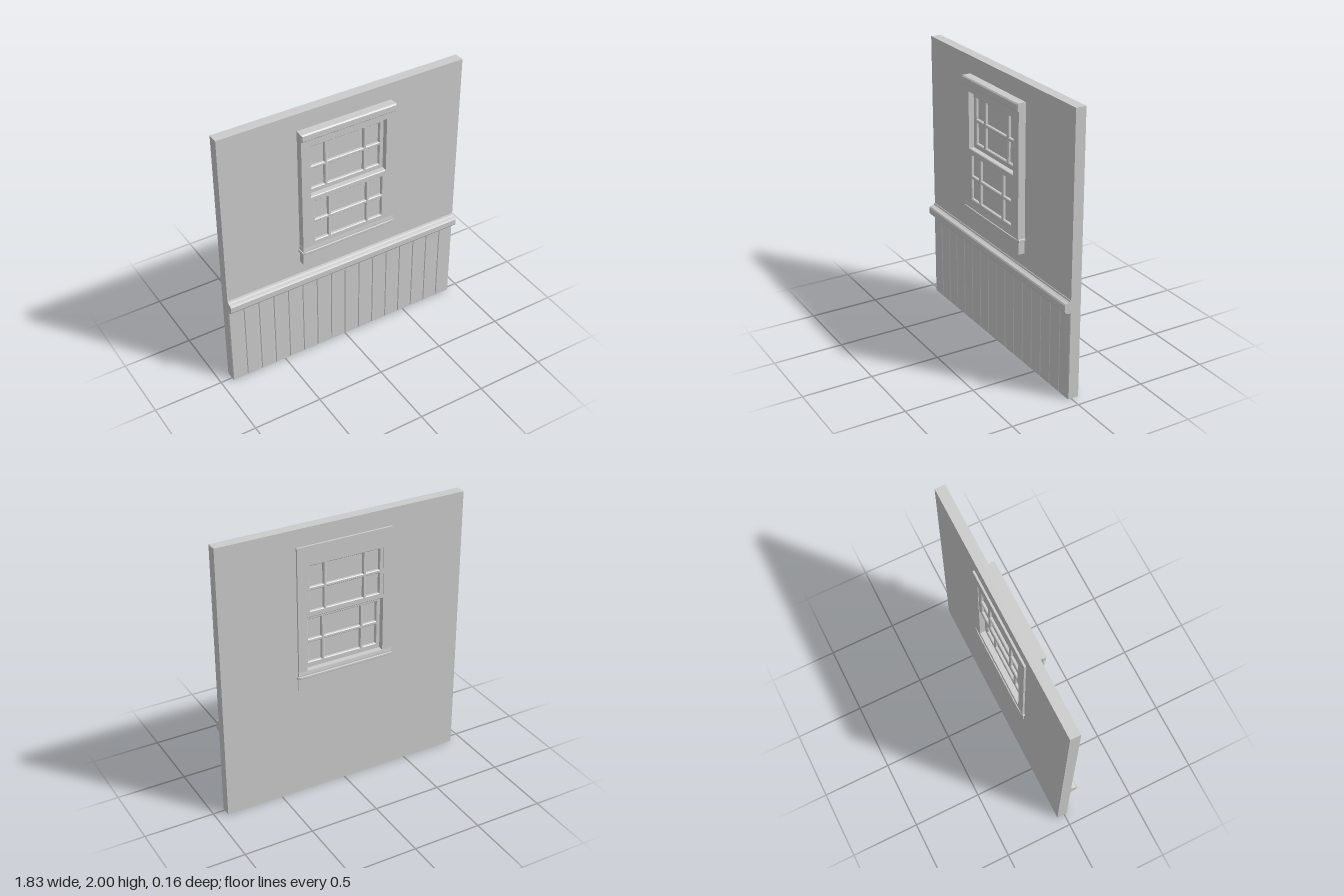
import * as THREE from 'three';

const mat = new THREE.MeshStandardMaterial({ color: 0xcccccc, flatShading: true });

function rect(x0, y0, x1, y1, Type = THREE.Shape) {
  return new Type([[x0, y0], [x1, y0], [x1, y1], [x0, y1]].map(p => new THREE.Vector2(...p)));
}

// Outline with rectangular holes, extruded from z0 to z1 (bevel included)
function slab(outline, holes, z0, z1, bevel = 0) {
  outline.holes = holes.map(h => rect(...h, THREE.Path));
  const g = new THREE.ExtrudeGeometry(outline, {
    depth: z1 - z0 - 2 * bevel, bevelEnabled: bevel > 0,
    bevelThickness: bevel, bevelSize: bevel, bevelSegments: 1,
  });
  return g.translate(0, 0, z0 + bevel);
}

// Moulding: [z, y] cross-section run along x
function moulding(profile, halfLength) {
  const s = new THREE.Shape(profile.map(([z, y]) => new THREE.Vector2(-z, y)));
  const g = new THREE.ExtrudeGeometry(s, { depth: 2 * halfLength, bevelEnabled: false });
  return g.translate(0, 0, -halfLength).rotateY(Math.PI / 2);
}

export function createModel() {
  const model = new THREE.Group();
  model.name = 'windowWall';
  const add = (name, geometry, parent = model) => {
    const m = new THREE.Mesh(geometry, mat);
    m.name = name;
    parent.add(m);
    return m;
  };
  const W = 0.914;

  // Wall with window opening
  add('wall', slab(rect(-W, 0, W, 2), [[-0.32, 0.88, 0.32, 1.82]], -0.056, 0.018));

  // Wainscot boards with chamfered long edges
  const boards = new THREE.Group();
  boards.name = 'wainscot';
  model.add(boards);
  const count = 16, pitch = 2 * W / count, h = pitch / 2;
  const section = new THREE.Shape([
    [-h, 0], [h, 0], [h, -0.001], [h - 0.005, -0.006], [-h + 0.005, -0.006], [-h, -0.001],
  ].map(p => new THREE.Vector2(...p)));
  const board = new THREE.ExtrudeGeometry(section, { depth: 0.64, bevelEnabled: false });
  board.rotateX(-Math.PI / 2);
  for (let i = 0; i < count; i++) {
    add('board', board, boards).position.set(-W + (i + 0.5) * pitch, 0, 0.0175);
  }

  // Chair rail
  add('chairRail', moulding([
    [0.01, 0.63], [0.03, 0.633], [0.047, 0.637], [0.06, 0.645], [0.065, 0.656],
    [0.065, 0.695], [0.058, 0.704], [0.038, 0.709], [0.027, 0.714], [0.022, 0.724], [0.01, 0.724],
  ], W));

  const win = new THREE.Group();
  win.name = 'window';
  model.add(win);

  // Casing, head trim and apron
  add('casing', slab(rect(-0.355, 0.955, 0.355, 1.875), [[-0.29, 0.965, 0.29, 1.775]], -0.07, 0.07), win);
  add('headTrim', slab(rect(-0.349, 1.827, 0.349, 1.867), [], 0.05, 0.084, 0.008), win);
  add('apron', slab(rect(-0.355, 0.825, 0.355, 0.92), [], -0.065, 0.065), win);

  // Sill: flared upper part and a nosing with tapered ends
  add('sillFlare', moulding([
    [-0.073, 0.925], [0.073, 0.925], [0.073, 0.945], [0.07, 0.966],
    [-0.07, 0.966], [-0.073, 0.945],
  ], 0.357), win);
  const plan = new THREE.Shape([
    [-0.365, -0.07], [-0.35, -0.077], [-0.29, -0.081], [0.29, -0.081], [0.35, -0.077], [0.365, -0.07],
    [0.365, 0.07], [0.35, 0.077], [0.29, 0.081], [-0.29, 0.081], [-0.35, 0.077], [-0.365, 0.07],
  ].map(p => new THREE.Vector2(...p)));
  const nosing = new THREE.ExtrudeGeometry(plan, {
    depth: 0.01, bevelThickness: 0.005, bevelSize: 0.004, bevelOffset: -0.004, bevelSegments: 2,
  });
  add('sillNosing', nosing.rotateX(-Math.PI / 2).translate(0, 0.92, 0), win);

  // Two six-pane sashes: the lower sits forward, the upper sits back
  const columns = [[-0.265, -0.155], [-0.142, 0.142], [0.155, 0.265]];
  const sashes = [
    { name: 'lowerSash', y0: 0.965, y1: 1.365, rows: [[1.0, 1.158], [1.172, 1.33]], z0: -0.03, z1: 0.07 },
    { name: 'upperSash', y0: 1.365, y1: 1.775, rows: [[1.4, 1.56], [1.574, 1.735]], z0: -0.065, z1: 0.03 },
  ];
  for (const { name, y0, y1, rows, z0, z1 } of sashes) {
    const sash = new THREE.Group();
    sash.name = name;
    win.add(sash);
    const panes = rows.flatMap(([a, b]) => columns.map(([l, r]) => [l, a, r, b]));
    add('sashFrame', slab(rect(-0.29, y0, 0.29, y1), panes, z0, z1, 0.005), sash);
    add('glass', slab(rect(-0.275, y0 + 0.025, 0.275, y1 - 0.025), [], z0 + 0.02, z1 - 0.02), sash);
  }
  return model;
}
